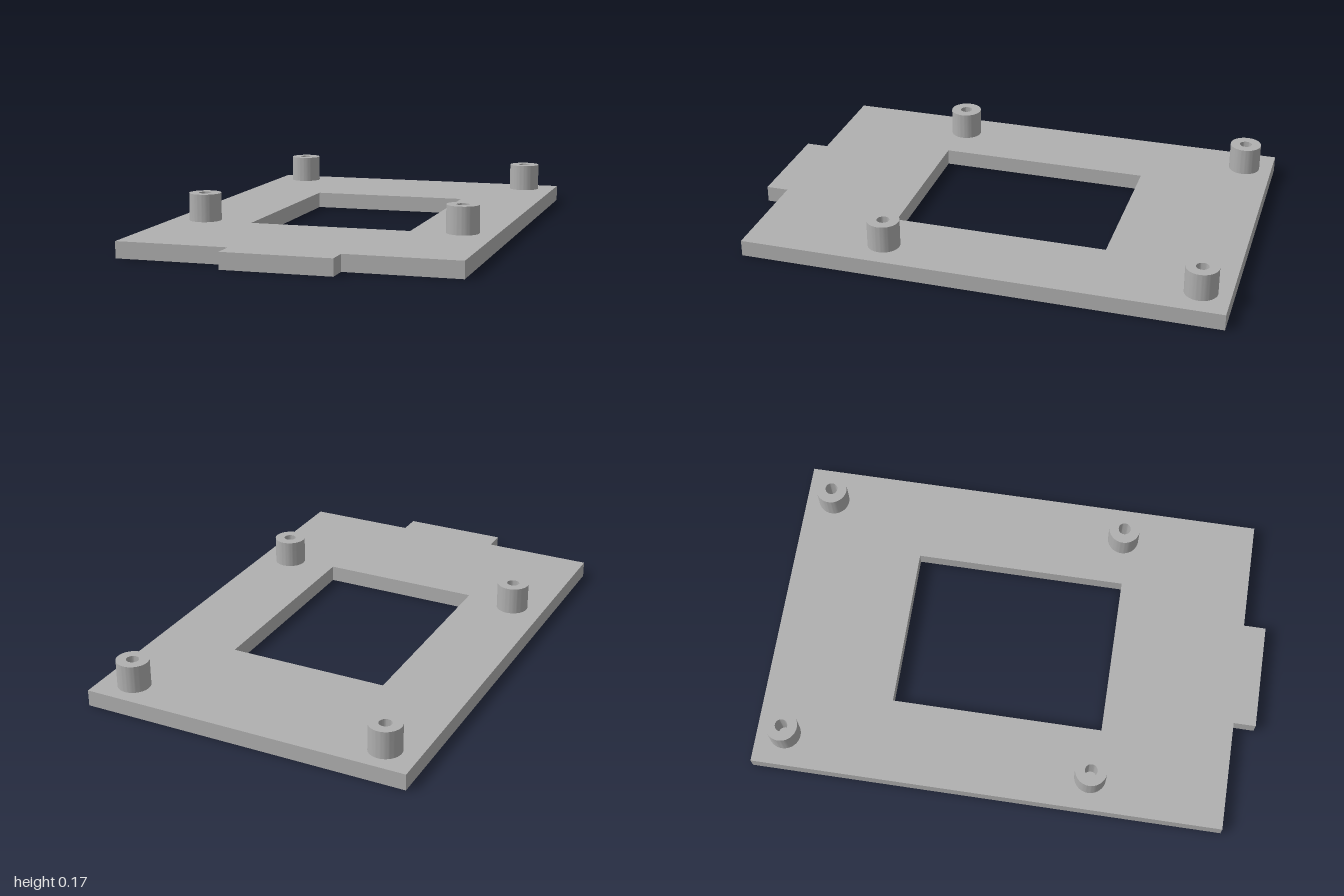
import * as THREE from 'three';
import { toCreasedNormals } from 'three/addons/utils/BufferGeometryUtils.js';

const PLATE_HEIGHT = 0.065;
const POST_HEIGHT = 0.11;

// Extrudes a plan outline (x, -z) upwards from y = 0
function extrudeUp(shape, depth, curveSegments = 1) {
  return new THREE.ExtrudeGeometry(shape, { depth, curveSegments, bevelEnabled: false }).rotateX(-Math.PI / 2);
}

const outline = (points) => points.map(([x, z]) => new THREE.Vector2(x, -z));

export function createModel() {
  const group = new THREE.Group();
  group.name = 'mountingPlate';
  const grey = new THREE.MeshStandardMaterial({ color: 0xb0b0b0 });
  grey.name = 'plain grey';

  // Base plate with a front tab and a rectangular opening
  const plateShape = new THREE.Shape(outline([
    [-0.66, -1], [-0.66, 0.91], [-0.214, 0.91], [-0.214, 1],
    [0.214, 1], [0.214, 0.91], [0.66, 0.91], [0.66, -1],
  ]));
  plateShape.holes.push(new THREE.Path(outline([
    [-0.325, -0.477], [0.325, -0.477], [0.325, 0.383], [-0.325, 0.383],
  ])));
  const plate = new THREE.Mesh(extrudeUp(plateShape, PLATE_HEIGHT), grey);
  plate.name = 'basePlate';
  group.add(plate);

  // Four hollow standoffs, bored down to the plate
  const ring = new THREE.Shape().absarc(0, 0, 0.064, 0, Math.PI * 2);
  ring.holes.push(new THREE.Path().absarc(0, 0, 0.025, 0, Math.PI * 2, true));
  const postGeometry = toCreasedNormals(extrudeUp(ring, POST_HEIGHT, 32), Math.PI / 6);
  for (const [side, x] of [['left', 0.527], ['right', -0.527]]) {
    for (const [end, z] of [['Front', 0.363], ['Back', -0.885]]) {
      const post = new THREE.Mesh(postGeometry, grey);
      post.name = `${side}${end}Standoff`;
      post.position.set(x, PLATE_HEIGHT, z);
      group.add(post);
    }
  }
  return group;
}
